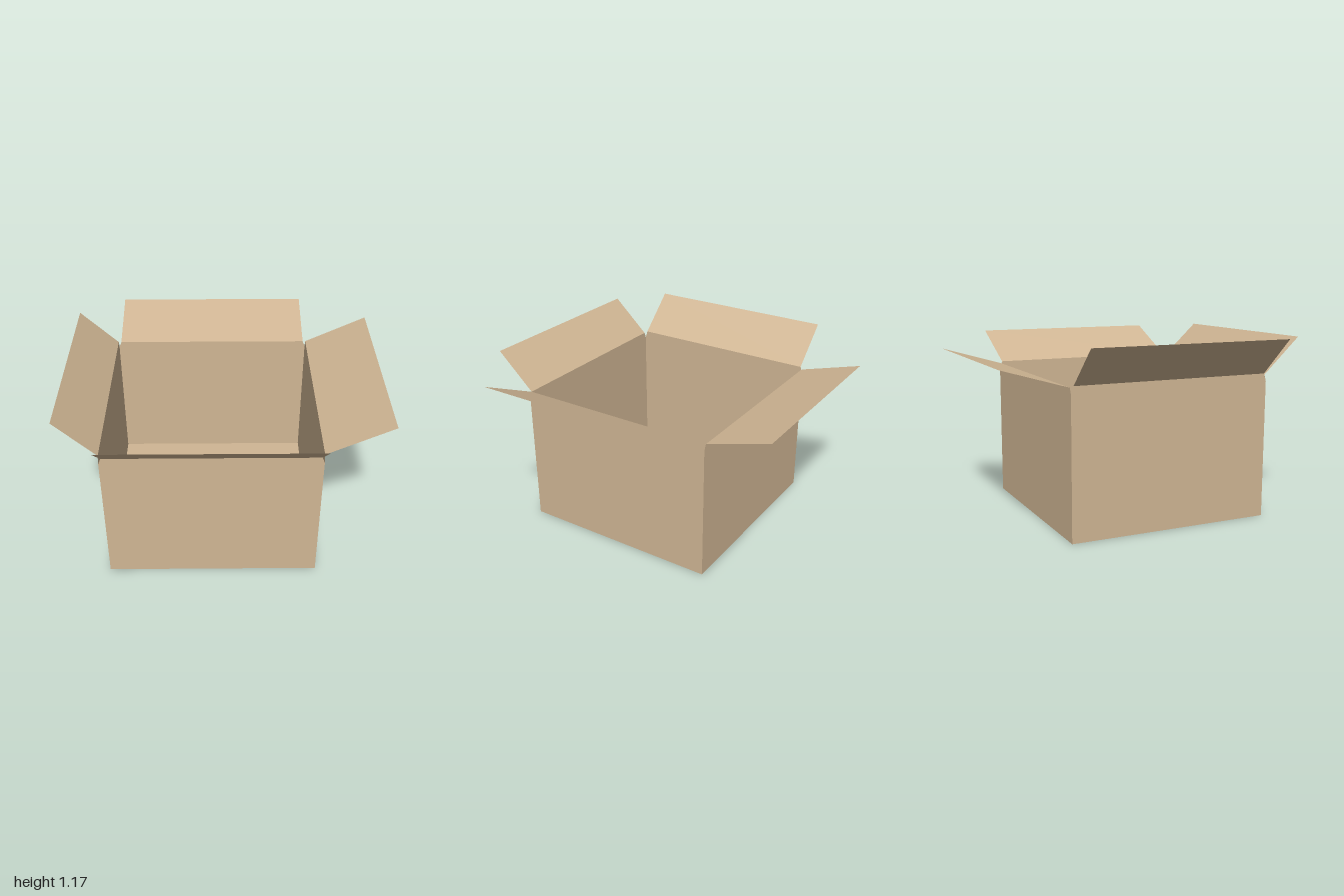
import * as THREE from 'three';

export function createModel() {
  const model = new THREE.Group();
  model.name = 'openCardboardBox';
  const cardboard = new THREE.MeshStandardMaterial({ color: 0xd0b694, side: THREE.DoubleSide });
  cardboard.name = 'cardboard';

  const half = 0.667;      // half the width of the square box
  const hingeHalf = 0.651; // half the width of a flap
  const notchY = 0.885;    // where the wall corners are cut back

  const box = new THREE.Group();
  box.name = 'box';
  box.position.set(-0.082, 0, 0.082);
  model.add(box);

  const add = (parent, geometry, name) => {
    const mesh = new THREE.Mesh(geometry, cardboard);
    mesh.name = name;
    parent.add(mesh);
    return mesh;
  };

  // Floor, facing down
  add(box, new THREE.PlaneGeometry(half * 2, half * 2).rotateX(Math.PI / 2), 'floor');

  // Each side is a thin wall with a flap folded outward from its top edge
  const sides = [
    { name: 'front', turn: 0, hingeY: 0.925, reach: 0.252, rise: 0.232 },
    { name: 'left', turn: 1, hingeY: 0.935, reach: 0.406, rise: 0.19 },
    { name: 'back', turn: 2, hingeY: 0.925, reach: 0.416, rise: 0.122 },
    { name: 'right', turn: 3, hingeY: 0.935, reach: 0.251, rise: 0.237 },
  ];
  for (const { name, turn, hingeY, reach, rise } of sides) {
    const side = new THREE.Group();
    side.name = name + 'Side';
    side.rotation.y = turn * Math.PI / 2;
    box.add(side);

    // Wall with cut top corners
    const outline = new THREE.Shape([
      [-half, 0], [half, 0], [half, notchY],
      [hingeHalf, hingeY], [-hingeHalf, hingeY], [-half, notchY],
    ].map(([x, y]) => new THREE.Vector2(x, y)));
    add(side, new THREE.ShapeGeometry(outline), name + 'Wall').position.z = half;

    // Flap, tilted out about the hinge
    const length = Math.hypot(reach, rise);
    const flap = new THREE.PlaneGeometry(hingeHalf * 2, length)
      .translate(0, length / 2, 0)
      .rotateX(Math.atan2(reach, rise));
    add(side, flap, name + 'Flap').position.set(0, hingeY, half);
  }
  return model;
}
